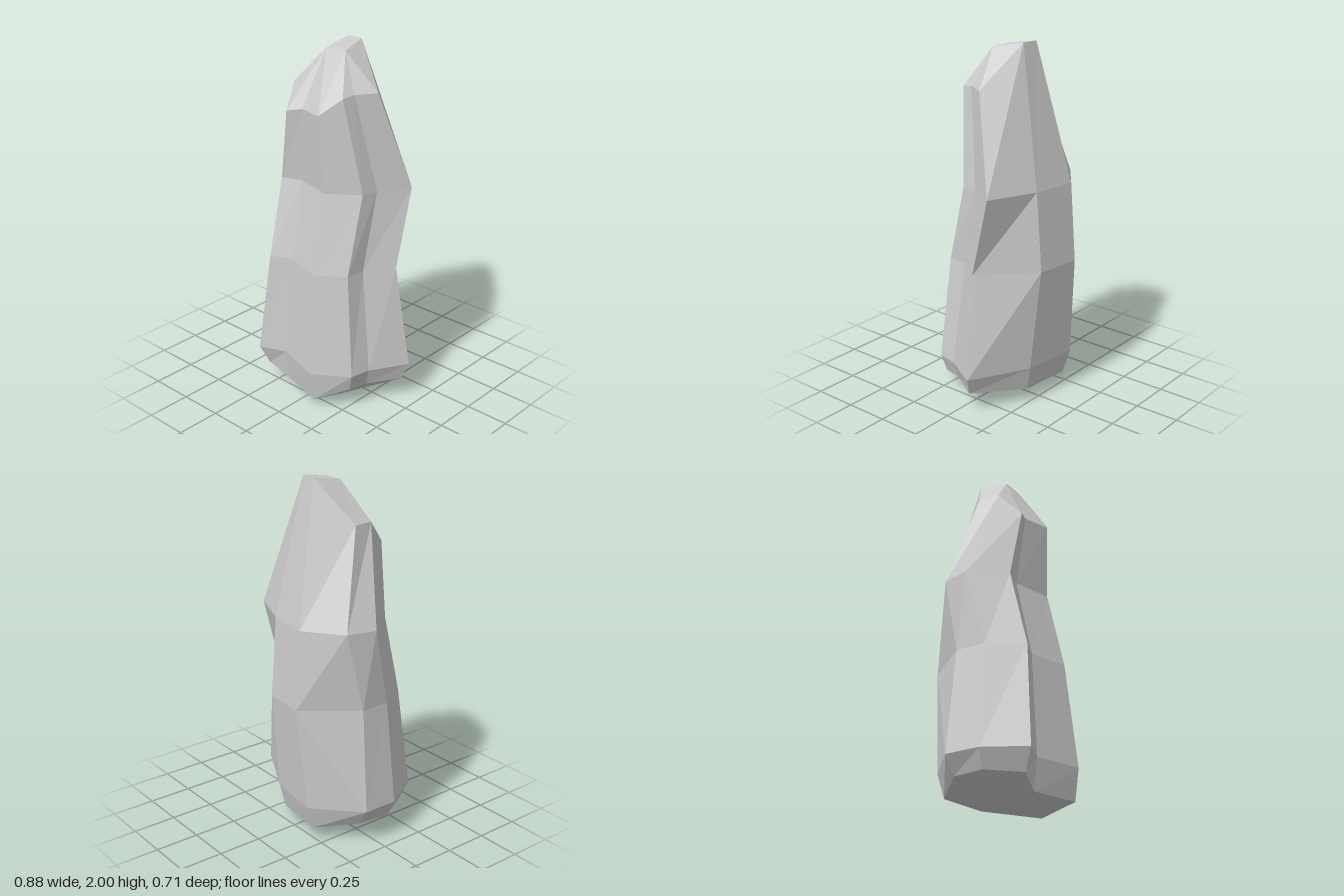
import * as THREE from 'three';

// Ten-sided outlines, from the back right corner round the front: [x, z] at a fixed height
const level = (y, outline) => outline.map(([x, z]) => [x, y, z]);

const underside = [
  [-0.38, 0.12, -0.08], [-0.4, 0.12, 0.1], [-0.29, 0.105, 0.28], [-0.165, 0.045, 0.25], [0.105, 0.045, 0.33],
  [0.265, 0.12, 0.21], [0.29, 0.12, 0.1], [0.4, 0.12, -0.075], [0.095, 0.08, -0.24], [-0.2, 0.08, -0.27],
];
const base = level(0.22, [
  [-0.445, -0.09], [-0.445, 0.11], [-0.32, 0.33], [-0.165, 0.27], [0.105, 0.355],
  [0.295, 0.225], [0.32, 0.11], [0.44, -0.095], [0.11, -0.27], [-0.21, -0.31],
]);
const waist = level(0.8, [
  [-0.39, -0.075], [-0.385, 0.095], [-0.265, 0.28], [-0.14, 0.23], [0.085, 0.297],
  [0.235, 0.193], [0.245, 0.08], [0.355, -0.067], [0.09, -0.325], [-0.17, -0.358],
]);
const chest = level(1.24, [
  [-0.37, -0.173], [-0.41, -0.01], [-0.265, 0.175], [-0.145, 0.14], [0.08, 0.2],
  [0.242, 0.085], [0.26, -0.01], [0.362, -0.177], [0.09, -0.29], [-0.168, -0.325],
]);
// The shoulder runs up to the peak at the back
const shoulder = [
  [-0.26, 1.77, -0.03], [-0.245, 1.77, 0.085], [-0.19, 1.64, 0.205], [-0.105, 1.66, 0.175], [0.055, 1.665, 0.223],
  [0.16, 1.76, 0.15], [0.175, 1.77, 0.08], [0.243, 1.77, -0.03], [0.025, 2, -0.145], [-0.07, 2, -0.155],
];

export function createModel() {
  const positions = [];
  const tri = (...corners) => corners.forEach((p) => positions.push(...p));
  const next = (k) => (k + 1) % 10;

  // Side bands between neighbouring outlines
  const rings = [underside, base, waist, chest, shoulder];
  for (let r = 0; r < rings.length - 1; r++) {
    const low = rings[r], up = rings[r + 1];
    for (let k = 0; k < 10; k++) {
      const n = next(k);
      if (r === 1 && k === 9) { // crease falls the other way on the back right corner
        tri(low[k], low[n], up[k]);
        tri(low[n], up[n], up[k]);
      } else {
        tri(low[k], low[n], up[n]);
        tri(low[k], up[n], up[k]);
      }
    }
  }

  // Close an outline onto a short ridge: corners 4 to 8 meet its left end, the rest its right end
  const cap = (ring, right, left, flip) => {
    const face = (a, b, c) => (flip ? tri(a, c, b) : tri(a, b, c));
    const inner = (k) => (k >= 4 && k <= 8 ? left : right);
    for (let k = 0; k < 10; k++) {
      const n = next(k);
      face(ring[k], ring[n], inner(k));
      if (inner(k) !== inner(n)) face(inner(k), ring[n], inner(n));
    }
  };
  cap(shoulder, [-0.065, 1.97, 0.025], [0.065, 1.97, 0.025], false);
  cap(underside, [-0.12, 0, 0.11], [0.14, 0, 0.11], true);

  const geometry = new THREE.BufferGeometry();
  geometry.setAttribute('position', new THREE.Float32BufferAttribute(positions, 3));
  geometry.computeVertexNormals();

  const rock = new THREE.Mesh(
    geometry,
    new THREE.MeshStandardMaterial({ color: 0xcccccc, flatShading: true })
  );
  rock.name = 'standingRock';
  const group = new THREE.Group();
  group.name = 'rock';
  group.add(rock);
  return group;
}
